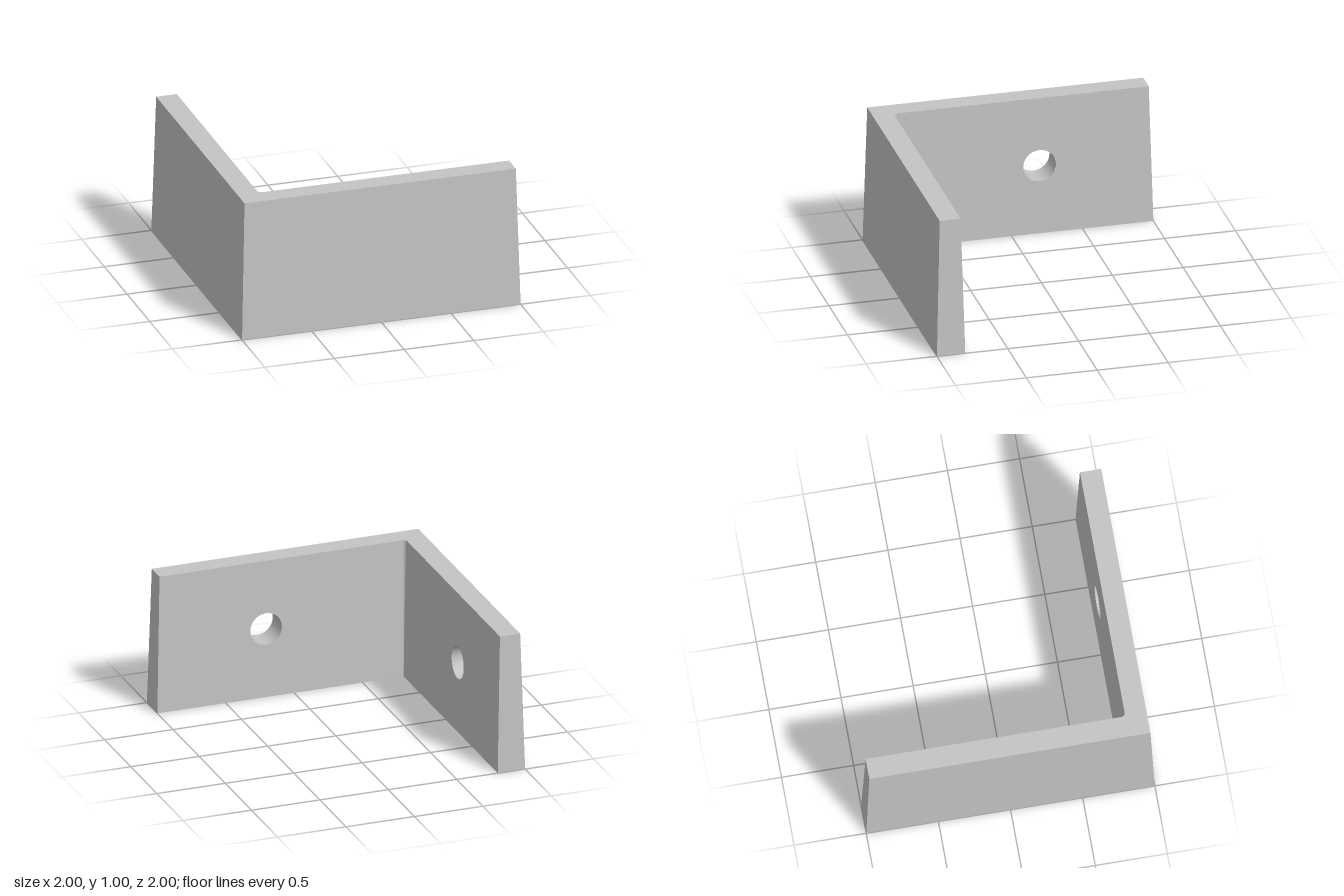
import * as THREE from 'three';

const DRAFT = 0.026; // every wall leans inward by this much over the height of 1
const THICK = 0.2;
const HOLE = { x: 0.2, y: 0.5, r: 0.115 };
const SEGMENTS = 48;

// Reverse triangle winding, optionally turning the normals too
function flip(geo, turnNormals = true) {
  const index = geo.index;
  for (let i = 0; i < index.count; i += 3) {
    const a = index.getX(i);
    index.setX(i, index.getX(i + 2));
    index.setX(i + 2, a);
  }
  if (turnNormals) {
    const n = geo.attributes.normal;
    for (let i = 0; i < n.count; i++) n.setXYZ(i, -n.getX(i), -n.getY(i), -n.getZ(i));
  }
  return geo;
}

// Move every vertex by a rule
function remap(geo, rule) {
  const p = geo.attributes.position;
  const v = new THREE.Vector3();
  for (let i = 0; i < p.count; i++) {
    rule(v.fromBufferAttribute(p, i));
    p.setXYZ(i, v.x, v.y, v.z);
  }
  return geo;
}

const outerZ = (y) => 1 - DRAFT * y;
const innerZ = (y) => 1 - THICK + DRAFT * y;

// Trapezoid wall with the bolt hole cut out
function wall(x0, x1, topX0, topX1) {
  const shape = new THREE.Shape();
  shape.moveTo(x0, 0).lineTo(x1, 0).lineTo(topX1, 1).lineTo(topX0, 1).closePath();
  const hole = new THREE.Path();
  hole.absarc(HOLE.x, HOLE.y, HOLE.r, 0, Math.PI * 2, true);
  shape.holes.push(hole);
  return new THREE.ShapeGeometry(shape, SEGMENTS);
}

// L outline, inset by d, with a round inner corner where it is inset
function footprint(d) {
  const o = 1 - d, i = 1 - THICK;
  const s = new THREE.Shape();
  s.moveTo(-o, -o).lineTo(o, -o).lineTo(o, -i - d).lineTo(-i, -i - d);
  if (d > 0) s.absarc(-i, -i, d, -Math.PI / 2, -Math.PI, true);
  s.lineTo(-i - d, o).lineTo(-o, o).closePath();
  return new THREE.ShapeGeometry(s, 8).rotateX(-Math.PI / 2);
}

// Surfaces of the front leg
function legParts() {
  const outer = remap(wall(-1, 1, -1 + DRAFT, 1 - DRAFT), (v) => { v.z = outerZ(v.y); });
  outer.computeVertexNormals();

  const inner = flip(remap(wall(-1 + THICK, 1, -1 + THICK, 1 - DRAFT), (v) => { v.z = innerZ(v.y); }));
  inner.computeVertexNormals();

  const bore = new THREE.CylinderGeometry(HOLE.r, HOLE.r, 1, SEGMENTS, 1, true);
  bore.rotateX(Math.PI / 2).translate(HOLE.x, HOLE.y, 0);
  flip(remap(bore, (v) => { v.z = v.z > 0 ? outerZ(v.y) : innerZ(v.y); }));

  const end = new THREE.PlaneGeometry(THICK, 1).rotateY(Math.PI / 2).translate(0, 0.5, 0);
  remap(end, (v) => {
    v.x = 1 - DRAFT * v.y;
    v.z = v.z > 0 ? outerZ(v.y) : innerZ(v.y);
  });
  end.computeVertexNormals();

  return { OuterFace: outer, InnerFace: inner, BoltHole: bore, EndFace: end };
}

export function createModel() {
  const model = new THREE.Group();
  model.name = 'angleBracket';
  const grey = new THREE.MeshStandardMaterial({ color: 0xc4c4c4 });
  grey.name = 'grey';

  const add = (parent, name, geo) => {
    const mesh = new THREE.Mesh(geo, grey);
    mesh.name = name;
    parent.add(mesh);
  };

  // The side leg is the front leg mirrored across the corner diagonal
  const mirror = new THREE.Matrix4().set(0, 0, -1, 0, 0, 1, 0, 0, -1, 0, 0, 0, 0, 0, 0, 1);
  for (const name of ['frontLeg', 'sideLeg']) {
    const leg = new THREE.Group();
    leg.name = name;
    for (const [part, geo] of Object.entries(legParts())) {
      if (name === 'sideLeg') flip(geo.applyMatrix4(mirror), false);
      add(leg, name + part, geo);
    }
    model.add(leg);
  }

  // Top and bottom faces
  add(model, 'topFace', footprint(DRAFT).translate(0, 1, 0));
  add(model, 'bottomFace', flip(footprint(0)));

  // Inner corner, rounding gradually toward the top
  const corner = new THREE.CylinderGeometry(DRAFT, 0, 1, 8, 1, true, -Math.PI / 2, Math.PI / 2);
  add(model, 'innerCorner', flip(corner.translate(-1 + THICK, 0.5, 1 - THICK)));

  return model;
}
